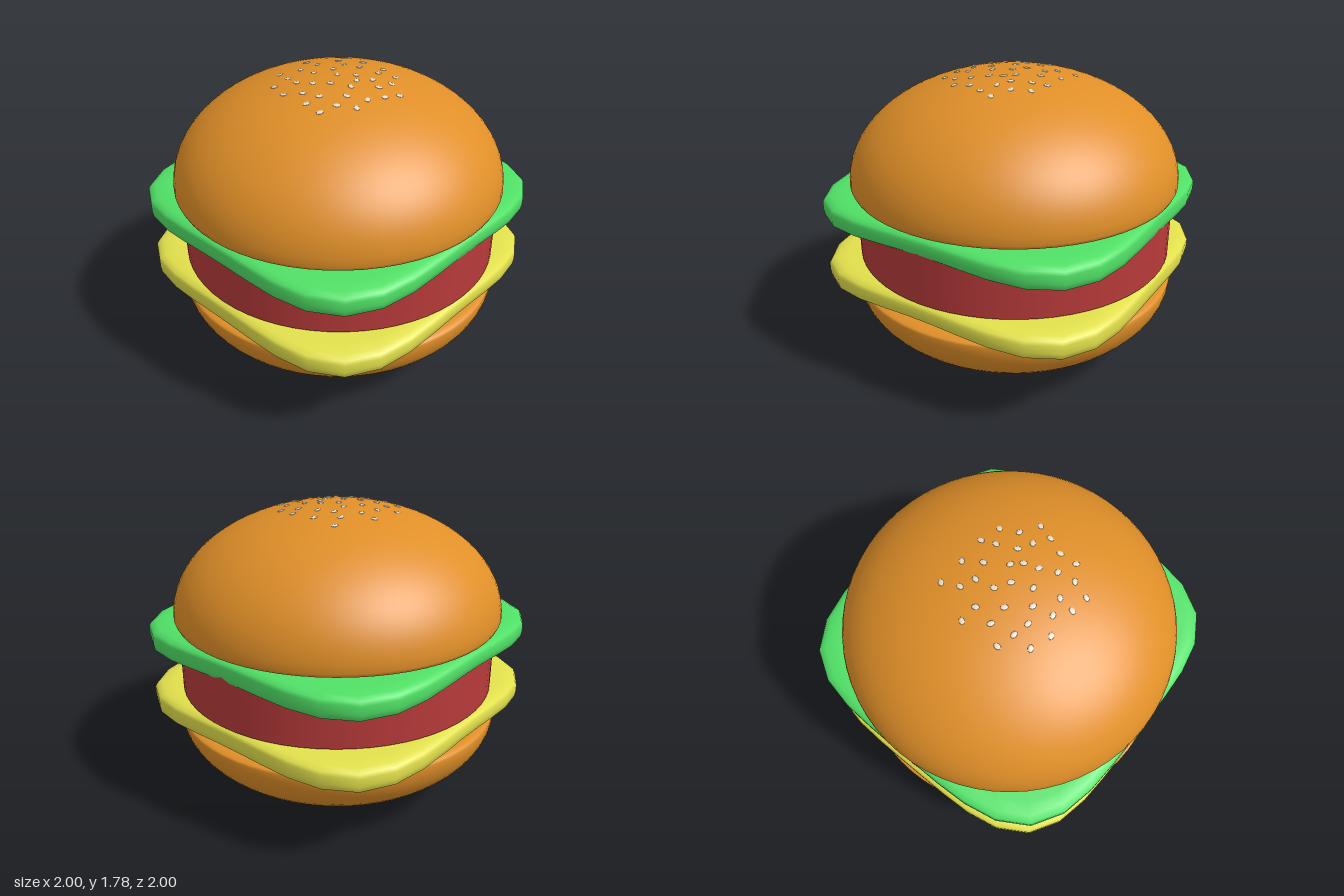
import * as THREE from 'three';
import { mergeVertices } from 'three/addons/utils/BufferGeometryUtils.js';

const material = (name, color) => {
  const m = new THREE.MeshStandardMaterial({ color });
  m.name = name;
  return m;
};

// Top of the crown bun: an ellipse rising from the rim
const RIM_Y = 1.14, DOME_H = 0.64;

// Seed positions on the crown, as x, z in hundredths
const SEEDS = [
  -17, -31, 6, -32, -31, -21, -20, -21, -7, -24, 5, -22, 19, -18, 29, -22, -35, -9, -22, -12,
  -7, -13, 4, -8, 15, -10, 28, -6, -29, 0, -18, -3, -1, 0, 18, 0, -35, 9, -26, 10,
  -12, 5, 6, 8, 1, 13, 28, 10, -36, 20, -26, 23, -16, 21, -7, 16, 9, 18, 20, 13,
  25, 22, 5, 26, 15, 27, -20, 32, -10, 31, 0, 35, 9, 38,
];

function lathe(points, segments = 64) {
  return new THREE.LatheGeometry(points.map(([x, y]) => new THREE.Vector2(x, y)), segments);
}

// Quarter ellipse points from the pole (t = 0) to the rim (t = 1)
function ellipse(height, steps = 20) {
  return Array.from({ length: steps + 1 }, (_, i) => {
    const a = (i / steps) * Math.PI / 2;
    return [Math.sin(a), height * Math.cos(a)];
  });
}

// Rounded-square slice whose corners droop; y = 0 is its flat top
function sliceGeometry() {
  const profile = [
    [0, -0.12], [0.5, -0.12], [0.8, -0.125], [0.94, -0.13], [0.975, -0.13], [0.995, -0.115],
    [1, -0.08], [1, -0.04], [0.99, -0.02], [0.96, -0.006], [0.9, 0], [0.5, 0], [0, 0],
  ].map(([x, y]) => new THREE.Vector2(x, y));
  let g = new THREE.LatheGeometry(profile, 36, Math.PI / 4);
  g.deleteAttribute('uv');
  g.deleteAttribute('normal');
  const p = g.attributes.position;
  for (let i = 0; i < p.count; i++) {
    const x = p.getX(i), z = p.getZ(i), y = p.getY(i);
    const r = Math.hypot(x, z);
    if (r < 1e-6) continue;
    const c = x / r, s = z / r;
    const k = 0.982 / Math.pow(c ** 4 + s ** 4, 0.25);
    const corner = (2 * c * s) ** 2;
    const droop = corner * (y < -0.06 ? 0.03 : 0.022) * r ** 4;
    const lift = y < -0.06 ? 0.008 * (s * s - c * c) * r ** 4 : 0;
    p.setXYZ(i, x * k, y - droop + lift, z * k);
  }
  g = mergeVertices(g, 1e-4);
  g.computeVertexNormals();
  return g;
}

export function createModel() {
  const bun = material('toasted bun', 0xe08f28);
  const green = material('lettuce green', 0x50e066);
  const yellow = material('cheese yellow', 0xe2e04c);
  const red = material('patty red', 0xb83a3a);
  const cream = material('seed cream', 0xe6dccb);

  const model = new THREE.Group();
  model.name = 'burger';
  const add = (name, geometry, mat, x = 0, y = 0, z = 0) => {
    const mesh = new THREE.Mesh(geometry, mat);
    mesh.name = name;
    mesh.position.set(x, y, z);
    model.add(mesh);
    return mesh;
  };

  // Buns
  const heel = ellipse(-0.515).map(([r, y]) => [r, y + 0.515]);
  add('bottomBun', lathe([...heel, [0.992, 0.526], [0.965, 0.535], [0.9, 0.538], [0, 0.538]]), bun);
  const crown = ellipse(DOME_H).map(([r, y]) => [r, y + RIM_Y]).reverse();
  add('topBun', lathe([[0, 1.095], [0.9, 1.098], [0.96, 1.104], [0.99, 1.118], ...crown]), bun);

  // Fillings
  const slice = sliceGeometry();
  add('cheese', slice, yellow, -0.005, 0.69, -0.005);
  add('patty', new THREE.CylinderGeometry(0.97, 0.97, 0.32, 64), red, 0.005, 0.85, 0.003);
  add('lettuce', slice, green, -0.005, 1.105, -0.005);

  // Seeds lying on the dome
  const seeds = new THREE.Group();
  seeds.name = 'seeds';
  const seedGeometry = new THREE.SphereGeometry(1, 8, 6);
  for (let i = 0; i < SEEDS.length; i += 2) {
    const x = SEEDS[i] / 100, z = SEEDS[i + 1] / 100;
    const y = RIM_Y + DOME_H * Math.sqrt(1 - x * x - z * z);
    const seed = new THREE.Mesh(seedGeometry, cream);
    seed.name = 'seed';
    seed.position.set(x, y, z);
    const normal = new THREE.Vector3(x, (y - RIM_Y) / DOME_H ** 2, z).normalize();
    seed.quaternion.setFromUnitVectors(new THREE.Vector3(0, 1, 0), normal);
    seed.rotateY(i * 1.3);
    seed.scale.set(0.022, 0.005, 0.016);
    seeds.add(seed);
  }
  model.add(seeds);
  return model;
}
